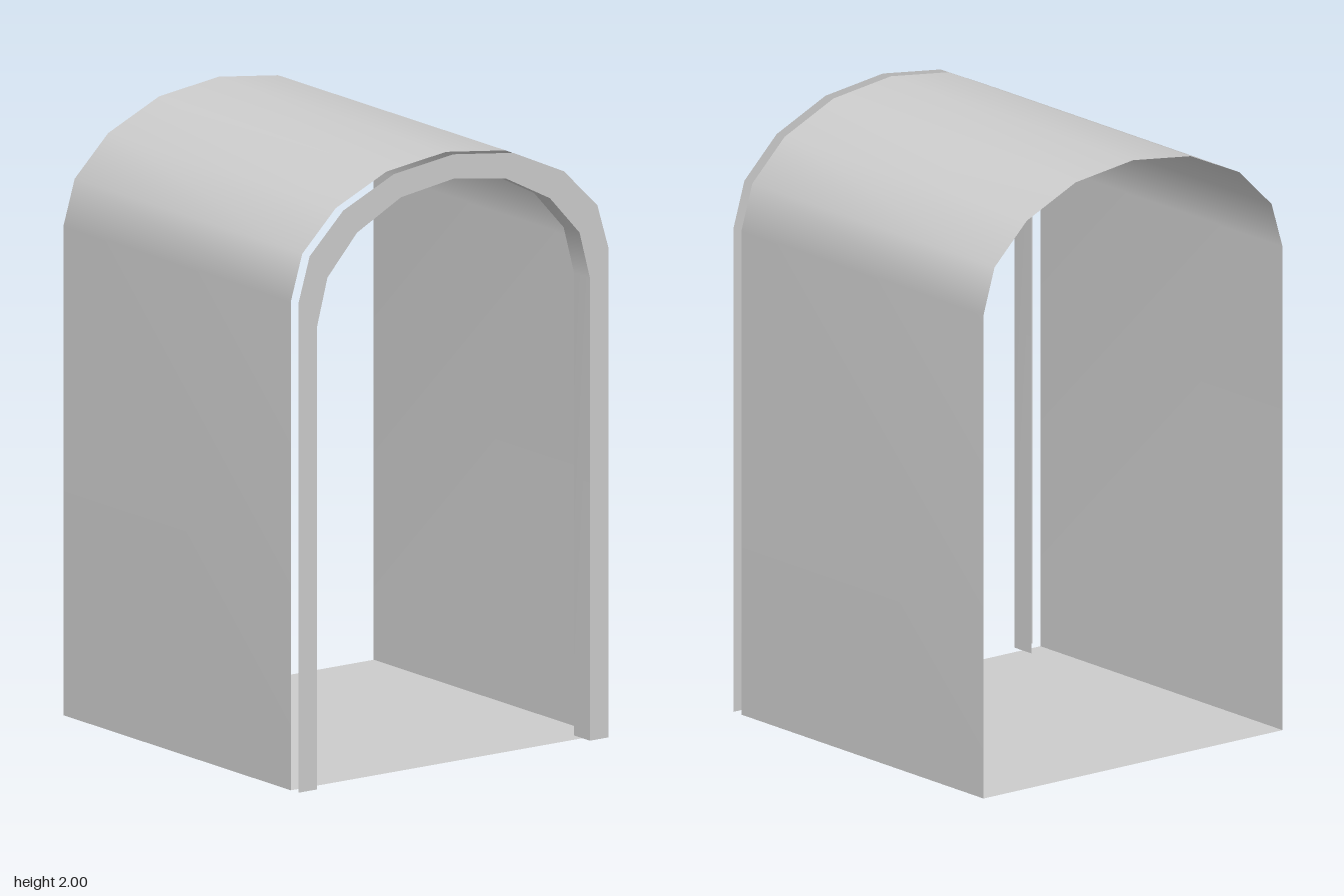
import * as THREE from 'three';

const X0 = -0.63, X1 = 0.59, X2 = 0.63;

// Half arches as [z, y], from the foot up; the last point is the crown
const outerHalf = [[0.612, 0], [0.612, 1.6], [0.567, 1.75], [0.435, 1.88], [0.235, 1.97], [0, 2]];
const innerHalf = [[0.538, 0], [0.538, 1.515], [0.497, 1.67], [0.38, 1.8], [0.207, 1.89], [0, 1.92]];

// Mirror a half arch across z = 0
const mirror = (half) => [...half, ...half.slice(0, -1).reverse().map(([z, y]) => [-z, y])];

// Skin between arch a at x = xa and arch b at x = xb
function strip(a, xa, b, xb) {
  const pos = [], idx = [];
  a.forEach(([z, y], i) => {
    pos.push(xa, y, z, xb, b[i][1], b[i][0]);
    if (i < a.length - 1) {
      const k = i * 2;
      idx.push(k, k + 1, k + 2, k + 1, k + 3, k + 2);
    }
  });
  const geo = new THREE.BufferGeometry();
  geo.setAttribute('position', new THREE.Float32BufferAttribute(pos, 3));
  geo.setIndex(idx);
  geo.computeVertexNormals();
  return geo;
}

export function createModel() {
  const group = new THREE.Group();
  const material = new THREE.MeshStandardMaterial({ color: 0xcccccc, side: THREE.DoubleSide });
  const add = (name, geo) => {
    const mesh = new THREE.Mesh(geo, material);
    mesh.name = name;
    group.add(mesh);
    return mesh;
  };
  const outer = mirror(outerHalf), inner = mirror(innerHalf);

  // Thin vaulted walls, open at both ends
  add('vaultShell', strip(outer, X0, outer, X1));

  // Floor sheet
  const floor = add('floor', new THREE.PlaneGeometry(X1 - X0, 1.224).rotateX(-Math.PI / 2));
  floor.position.x = (X0 + X1) / 2;

  // Angle trim just clear of the opening: a flat face and a lip turned inward
  add('trimFace', strip(outer, X2, inner, X2));
  add('trimLip', strip(inner, 0.545, inner, X2));

  return group;
}
